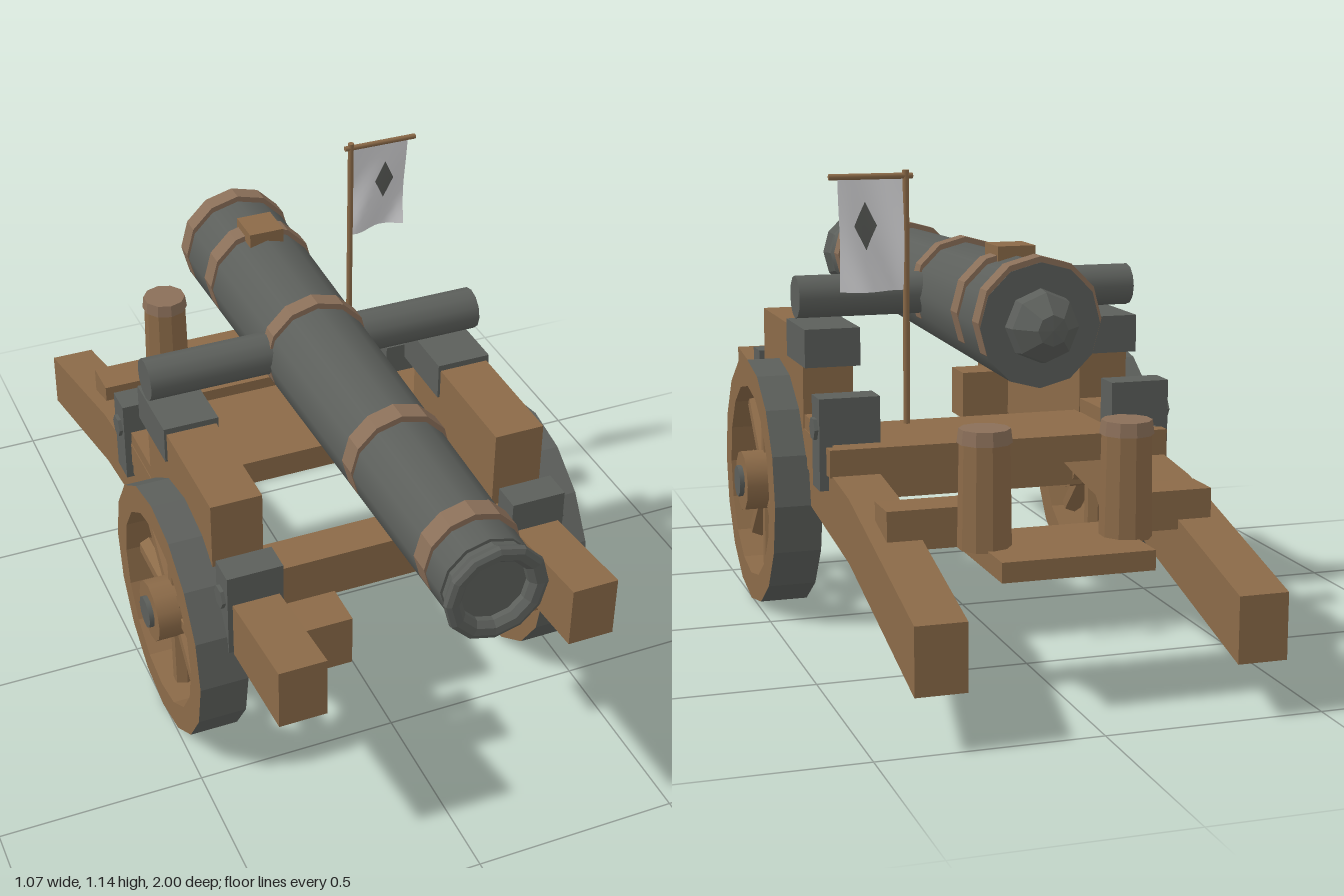
import * as THREE from 'three';

export function createModel() {
  const root = new THREE.Group();
  root.name = 'fieldCannon';
  const material = (name, color, side = THREE.FrontSide) => {
    const m = new THREE.MeshStandardMaterial({ color, side });
    m.name = name;
    return m;
  };
  const wood = material('wood', 0x8b6a48);
  const iron = material('iron', 0x5c5f5b);
  const strap = material('paleWood', 0x8a6f59);
  const cloth = material('cloth', 0xd6d6d8, THREE.DoubleSide);
  const emblem = material('emblemGrey', 0x5a5c58, THREE.DoubleSide);

  const add = (name, geo, mat, parent = root) => {
    const mesh = new THREE.Mesh(geo, mat);
    mesh.name = name;
    parent.add(mesh);
    return mesh;
  };
  const flat = (geo) => {
    const g = geo.index ? geo.toNonIndexed() : geo;
    g.computeVertexNormals();
    return g;
  };
  // box given by its limits on each axis
  const box = (name, mat, [x0, x1], [y0, y1], [z0, z1], parent) =>
    add(name, new THREE.BoxGeometry(Math.abs(x1 - x0), y1 - y0, z1 - z0)
      .translate((x0 + x1) / 2, (y0 + y1) / 2, (z0 + z1) / 2), mat, parent);
  // turned profile of [radius, z] points along the z axis
  const turned = (points, sides) =>
    flat(new THREE.LatheGeometry(points.map((p) => new THREE.Vector2(...p)), sides).rotateX(Math.PI / 2));
  // cylinder lying along x between two limits
  const axleCylinder = (r, x0, x1, sides) =>
    new THREE.CylinderGeometry(r, r, Math.abs(x1 - x0), sides)
      .rotateZ(-Math.PI / 2).translate((x0 + x1) / 2, 0, 0);

  // Gun barrel
  const gun = new THREE.Group();
  gun.name = 'gun';
  gun.position.y = 0.805;
  root.add(gun);
  const barrelRadius = (z) => 0.141 - (z + 0.58) * 0.0216;
  add('barrel', new THREE.CylinderGeometry(0.108, 0.141, 1.525, 12)
    .rotateX(Math.PI / 2).translate(0, 0, 0.1825), iron, gun);
  add('muzzleRing', turned([[0, 0.951], [0.106, 0.951], [0.108, 0.965], [0.12, 0.985], [0.118, 0.995],
    [0.107, 1], [0.09, 0.998], [0.078, 0.985], [0.077, 0.972], [0, 0.972]], 12), iron, gun);
  add('breechKnob', turned([[0, -0.665], [0.035, -0.663], [0.078, -0.615], [0.085, -0.57]], 8), iron, gun);
  for (const [z, w] of [[0.852, 0.052], [0.483, 0.052], [-0.005, 0.045], [-0.382, 0.05], [-0.555, 0.048]]) {
    const r = barrelRadius(z) + 0.004;
    add('barrelBand', flat(new THREE.CylinderGeometry(r, r, w, 12).rotateX(Math.PI / 2).translate(0, 0.01, z)), strap, gun);
  }
  box('sightBlock', wood, [-0.045, 0.045], [0.12, 0.16], [-0.415, -0.32], gun);
  add('trunnion', axleCylinder(0.052, -0.43, 0.43, 12).translate(0, 0.009, -0.02), iron, gun);

  // Cross members of the carriage
  box('bedBoard', wood, [-0.42, 0.42], [0.43, 0.495], [-0.32, -0.02]);
  box('axleBeam', wood, [-0.385, 0.385], [0.255, 0.375], [0.16, 0.265]);
  box('rearPlatform', wood, [-0.175, 0.175], [0.3, 0.345], [-0.84, -0.57]);

  // Side rail outline as [z, y]
  const railShape = new THREE.Shape([[0.805, 0.565], [-0.47, 0.415], [-1, 0.275], [-1, 0.125],
    [-0.47, 0.265], [-0.1, 0.31], [0.2, 0.357], [0.805, 0.41]].map((p) => new THREE.Vector2(...p)));
  const railGeo = new THREE.ExtrudeGeometry(railShape, { depth: 0.114, bevelEnabled: false })
    .rotateY(-Math.PI / 2).translate(0.057, 0, 0);

  for (const s of [1, -1]) {
    const side = new THREE.Group();
    side.name = s > 0 ? 'leftSide' : 'rightSide';
    root.add(side);
    const sideBox = (name, mat, [x0, x1], y, z) => box(name, mat, [s * x0, s * x1], y, z, side);

    add('sideRail', railGeo, wood, side).position.x = s * 0.357;
    sideBox('cheek', wood, [0.295, 0.42], [0.44, 0.73], [-0.05, 0.405]);
    sideBox('cheekStep', wood, [0.297, 0.418], [0.4, 0.53], [-0.24, 0.48]);
    sideBox('trunnionRest', iron, [0.289, 0.426], [0.652, 0.745], [-0.1, 0.1]);
    sideBox('frontStub', wood, [0.168, 0.32], [0.375, 0.505], [0.53, 0.635]);
    sideBox('rearStub', wood, [0.17, 0.38], [0.34, 0.43], [-0.67, -0.57]);

    // Bolted iron brackets over the rail
    for (const [z, x] of [[0.483, 0.426], [-0.248, 0.436]]) {
      sideBox('bracketCap', iron, [0.29, x], [0.5, 0.61], [z - 0.037, z + 0.037]);
      sideBox('bracketStrap', iron, [0.405, x], [0.392, 0.6], [z - 0.036, z + 0.036]);
      add('bracketBolt', flat(axleCylinder(0.028, s * (x - 0.01), s * (x + 0.009), 6)
        .translate(0, 0.535, z)), iron, side);
    }

    // Powder keg
    const keg = new THREE.Group();
    keg.name = 'keg';
    keg.position.set(s * 0.165, 0, -0.688);
    side.add(keg);
    add('kegBody', flat(new THREE.CylinderGeometry(0.056, 0.06, 0.235, 10).translate(0, 0.4575, 0)), wood, keg);
    add('kegLid', flat(new THREE.CylinderGeometry(0.057, 0.061, 0.032, 10).translate(0, 0.589, 0)), strap, keg);

    // Wheel
    const wheel = new THREE.Group();
    wheel.name = 'wheel';
    wheel.position.set(s * 0.444, 0.313, 0.22);
    side.add(wheel);
    add('tyre', flat(new THREE.CylinderGeometry(0.313, 0.313, 0.118, 16, 1, true).rotateZ(Math.PI / 2)), iron, wheel);
    add('rim', flat(new THREE.LatheGeometry([[0.313, 0.059], [0.245, 0.059], [0.245, -0.059], [0.313, -0.059]]
      .map((p) => new THREE.Vector2(...p)), 16).rotateZ(Math.PI / 2)), wood, wheel);
    for (let i = 0; i < 8; i++) {
      add('spoke', flat(new THREE.CylinderGeometry(0.027, 0.027, 0.21, 6)
        .translate(0, 0.15, 0).rotateX(i * Math.PI / 4)), wood, wheel);
    }
    add('hub', axleCylinder(0.077, -s * 0.086, s * 0.079, 12), wood, wheel);
    add('axleCap', axleCylinder(0.04, s * 0.07, s * 0.091, 10), iron, wheel);
  }

  // Flag with a gently waving cloth
  const flag = new THREE.Group();
  flag.name = 'flag';
  flag.position.set(0.25, 0, -0.372);
  root.add(flag);
  add('flagPole', new THREE.CylinderGeometry(0.008, 0.008, 0.58, 8).translate(0, 0.85, 0), wood, flag);
  add('flagCrossbar', axleCylinder(0.007, -0.016, 0.178, 8).translate(0, 1.127, 0), wood, flag);
  const wave = (geo, offset = 0) => {
    const p = geo.attributes.position;
    for (let i = 0; i < p.count; i++) {
      const drop = (1.125 - p.getY(i)) / 0.255;
      p.setZ(i, offset - drop * (0.02 + 0.014 * Math.sin(p.getX(i) * 38 + drop * 4)));
    }
    geo.computeVertexNormals();
    return geo;
  };
  add('flagCloth', wave(new THREE.PlaneGeometry(0.15, 0.255, 10, 12).translate(0.083, 0.9975, 0)), cloth, flag);
  for (const offset of [0.003, -0.003]) {
    const diamond = new THREE.PlaneGeometry(1, 1, 6, 6).rotateZ(Math.PI / 4)
      .scale(0.027 * Math.SQRT2, 0.054 * Math.SQRT2, 1).translate(0.096, 1.017, 0);
    add('flagDiamond', wave(diamond, offset), emblem, flag);
  }
  return root;
}
